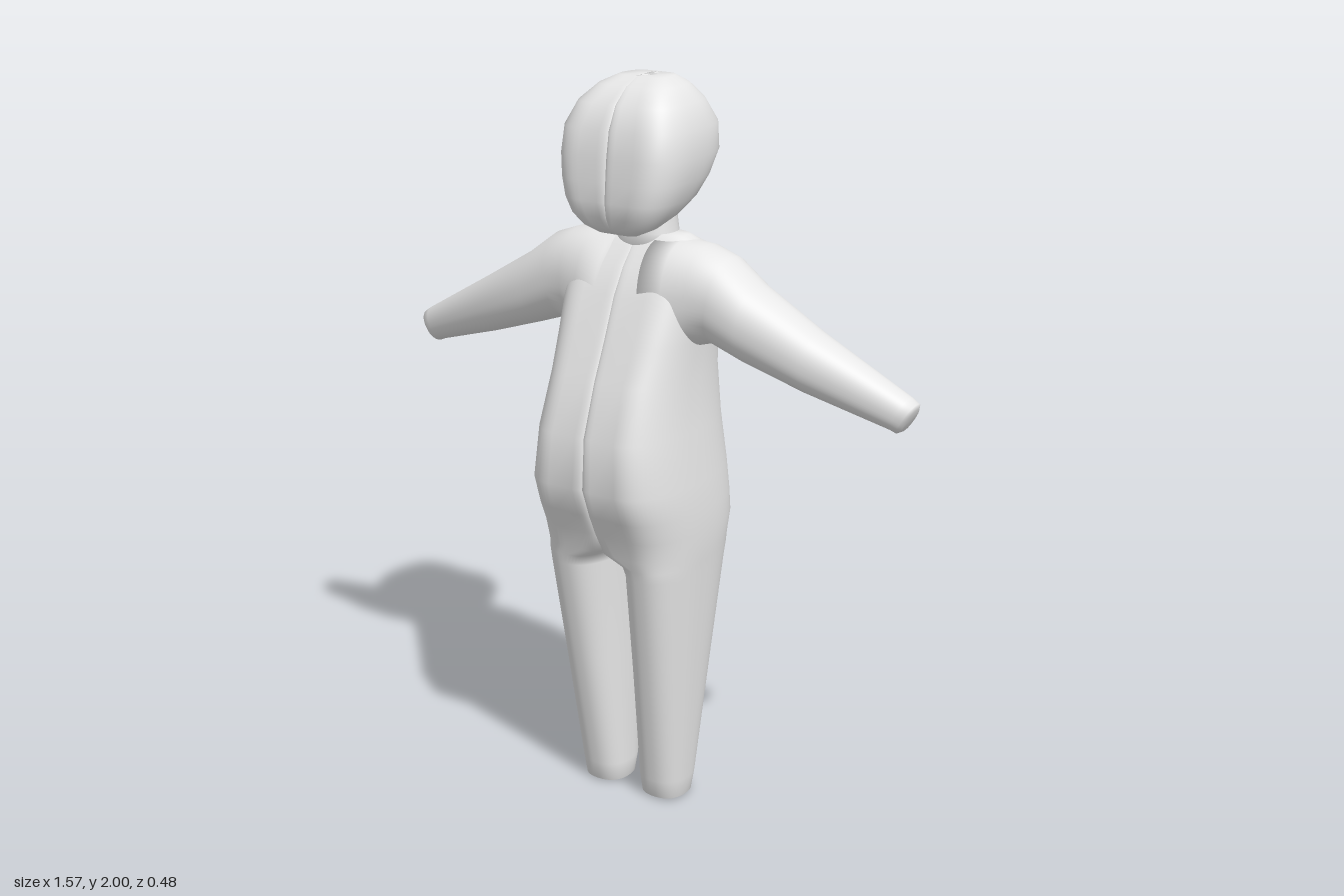
import * as THREE from 'three';

const SEG = 72;
const V = (x, y, z) => new THREE.Vector3(x, y, z);

// Skin a row of superellipse rings: centre c, half axes u (side) and v (depth).
// nPos and nNeg set how square each ring is on its +u and -u side.
function loft(rings) {
  const pos = [], index = [];
  const bend = (s, n) => Math.sign(s) * Math.pow(Math.abs(s), 2 / n);
  for (const { c, u, v, nPos, nNeg, taperPos = 0, taperNeg = 0 } of rings) {
    for (let i = 0; i < SEG; i++) {
      const t = (i / SEG) * Math.PI * 2;
      const n = i <= SEG / 2 ? nPos : nNeg;
      const z = bend(Math.cos(t), n);
      const x = bend(Math.sin(t), n) * (1 + (i <= SEG / 2 ? taperPos : taperNeg) * z);
      pos.push(...c.clone().addScaledVector(u, x).addScaledVector(v, z).toArray());
    }
  }
  const last = rings.length - 1;
  for (let r = 0; r < last; r++) {
    for (let i = 0; i < SEG; i++) {
      const a = r * SEG + i, b = r * SEG + ((i + 1) % SEG);
      index.push(a, b, b + SEG, a, b + SEG, a + SEG);
    }
  }
  // end caps
  const start = pos.length / 3;
  for (const k of [0, last]) pos.push(...rings[k].c.toArray());
  for (let i = 0; i < SEG; i++) {
    const j = (i + 1) % SEG;
    index.push(start, j, i, start + 1, last * SEG + i, last * SEG + j);
  }
  const g = new THREE.BufferGeometry();
  g.setAttribute('position', new THREE.Float32BufferAttribute(pos, 3));
  g.setIndex(index);
  g.computeVertexNormals();
  return g;
}

// Level ring of one body half: height, inner x, outer x, front z, back z,
// squareness towards the midline; outer squareness and taper are shared.
const halfRing = (side, nOut, taper) => ([y, inner, outer, zf, zb, nIn]) => ({
  c: V((side * (inner + outer)) / 2, y, (zf + zb) / 2),
  u: V((outer - inner) / 2, 0, 0),
  v: V(0, 0, (zf - zb) / 2),
  nPos: side > 0 ? nOut : nIn,
  nNeg: side > 0 ? nIn : nOut,
  taperPos: side > 0 ? taper : 0,
  taperNeg: side > 0 ? 0 : taper,
});

// Arm ring from its top and bottom points, front z and back z.
const armRing = (side) => ([tx, ty, bx, by, zf, zb]) => ({
  c: V((side * (tx + bx)) / 2, (ty + by) / 2, (zf + zb) / 2),
  u: V((bx - tx) / 2, (side * (by - ty)) / 2, 0),
  v: V(0, 0, (zf - zb) / 2),
  nPos: 2.2,
  nNeg: 2.2,
});

// Leg and torso half in one column, the halves meeting in a midline seam.
const BODY = [
  [0, 0.045, 0.148, 0.022, -0.082, 2.4],
  [0.006, 0.032, 0.159, 0.036, -0.098, 2.4],
  [0.06, 0.026, 0.166, 0.046, -0.11, 2.4],
  [0.4, 0.028, 0.193, 0.102, -0.16, 2.4],
  [0.7, 0.03, 0.216, 0.152, -0.205, 2.5],
  [0.73, 0.028, 0.218, 0.157, -0.213, 3],
  [0.76, -0.008, 0.221, 0.165, -0.224, 6],
  [0.82, -0.01, 0.224, 0.182, -0.24, 12],
  [0.88, -0.01, 0.223, 0.21, -0.237, 12],
  [0.96, -0.01, 0.219, 0.24, -0.23, 12],
  [1.1, -0.01, 0.203, 0.23, -0.215, 12],
  [1.24, -0.01, 0.191, 0.18, -0.205, 12],
  [1.34, -0.01, 0.196, 0.135, -0.195, 12],
  [1.45, -0.01, 0.2, 0.09, -0.187, 12],
  [1.52, -0.01, 0.198, 0.047, -0.168, 12],
  [1.57, -0.01, 0.185, 0.002, -0.137, 12],
  [1.6, -0.01, 0.13, -0.025, -0.1, 8],
];

const HEAD = [
  [1.612, -0.01, 0.06, 0.085, 0.03, 8],
  [1.63, -0.01, 0.1, 0.105, -0.01, 10],
  [1.66, -0.01, 0.132, 0.122, -0.07, 10],
  [1.7, -0.01, 0.155, 0.13, -0.135, 10],
  [1.75, -0.01, 0.171, 0.128, -0.178, 10],
  [1.81, -0.01, 0.179, 0.124, -0.215, 10],
  [1.88, -0.01, 0.174, 0.112, -0.213, 10],
  [1.94, -0.01, 0.146, 0.08, -0.18, 10],
  [1.98, -0.01, 0.108, 0.03, -0.147, 10],
  [2.0, -0.01, 0.07, -0.02, -0.12, 8],
];

// Drooping arm that starts inside the chest and has a blunt end.
const ARM = [
  [0.06, 1.59, 0.08, 1.24, 0.085, -0.175],
  [0.13, 1.592, 0.14, 1.28, 0.075, -0.175],
  [0.2, 1.585, 0.19, 1.32, 0.06, -0.167],
  [0.27, 1.56, 0.235, 1.333, 0.052, -0.16],
  [0.35, 1.5, 0.33, 1.3, 0.047, -0.152],
  [0.52, 1.4, 0.5, 1.243, 0.012, -0.142],
  [0.765, 1.262, 0.72, 1.174, -0.057, -0.146],
  [0.784, 1.249, 0.736, 1.167, -0.062, -0.144],
  [0.784, 1.235, 0.75, 1.174, -0.075, -0.132],
];

// Neck leaning back into the skull: height, half width, front z, back z.
const NECK = [
  [1.54, 0.08, 0.005, -0.135],
  [1.6, 0.085, 0, -0.135],
  [1.67, 0.065, -0.005, -0.145],
  [1.76, 0.07, -0.02, -0.18],
];

export function createModel() {
  const model = new THREE.Group();
  model.name = 'figure';
  const grey = new THREE.MeshStandardMaterial({ color: 0xe7e7e7 });
  grey.name = 'light grey';
  const add = (name, rings) => {
    const mesh = new THREE.Mesh(loft(rings), grey);
    mesh.name = name;
    model.add(mesh);
  };

  const neckRing = halfRing(1, 2.4, 0);
  add('neck', NECK.map(([y, w, zf, zb]) => neckRing([y, -w, w, zf, zb, 2.4])));

  for (const side of [1, -1]) {
    const name = side > 0 ? 'left' : 'right';
    add(name + 'LegAndTorso', BODY.map(halfRing(side, 2.4, 0)));
    add(name + 'Head', HEAD.map(halfRing(side, 2.6, 0.12)));
    add(name + 'Arm', ARM.map(armRing(side)));
  }
  return model;
}
